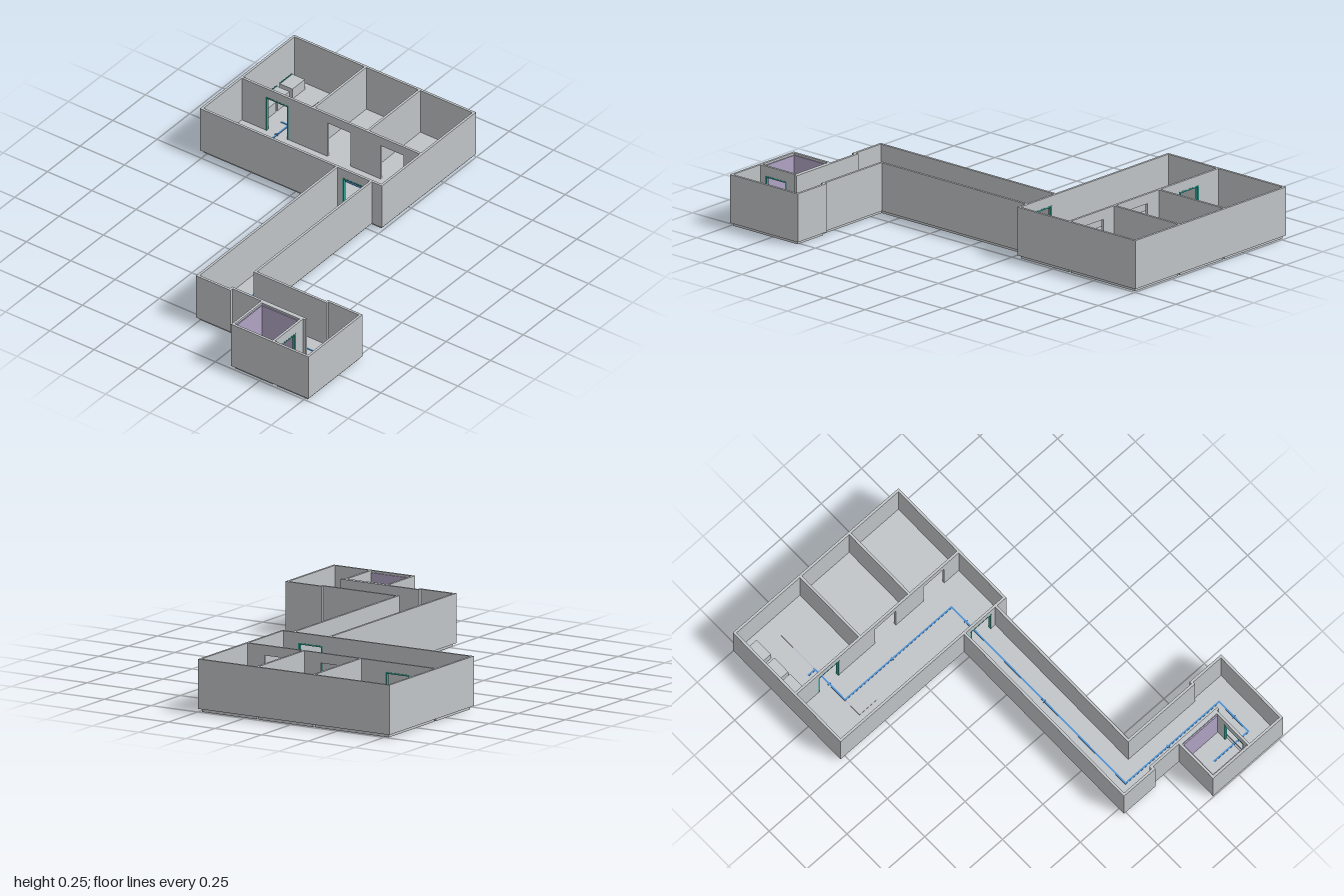
import * as THREE from 'three';

const WALL_BASE = 0.015, WALL_TOP = 0.247, DOOR_TOP = 0.2, T = 0.012;

export function createModel() {
  const model = new THREE.Group();
  model.name = 'floorPlan';

  const material = (name, hex) => {
    const m = new THREE.MeshStandardMaterial({ color: hex });
    m.name = name;
    return m;
  };
  const grey = material('plasterGrey', 0xc0c4c7);
  const purple = material('liftPurple', 0xb0a4c4);
  const teal = material('frameTeal', 0x2f9d90);
  const blue = material('routeBlue', 0x4a90d2);
  const lilac = material('routeLilac', 0xb5b0c6);

  // Box given by its extents
  const box = (name, mat, x0, x1, y0, y1, z0, z1) => {
    const mesh = new THREE.Mesh(new THREE.BoxGeometry(x1 - x0, y1 - y0, z1 - z0), mat);
    mesh.position.set((x0 + x1) / 2, (y0 + y1) / 2, (z0 + z1) / 2);
    mesh.name = name;
    model.add(mesh);
  };

  // Wall along x or z from a to b, its near face at c; doors are { at, width, framed }
  const wall = (name, axis, a, b, c, doors = []) => {
    const part = (n, mat, s, e, y0, y1, grow = 0) => axis === 'x'
      ? box(n, mat, s, e, y0, y1, c - grow, c + T + grow)
      : box(n, mat, c - grow, c + T + grow, y0, y1, s, e);
    let start = a;
    for (const { at, width, framed } of doors) {
      const s = at - width / 2, e = at + width / 2;
      part(name, grey, start, s, WALL_BASE, WALL_TOP);
      part(name + 'Lintel', grey, s, e, DOOR_TOP, WALL_TOP);
      part('threshold', grey, s, e, 0, WALL_BASE);
      if (framed) {
        part('doorJamb', teal, s, s + 0.007, WALL_BASE, DOOR_TOP, 0.001);
        part('doorJamb', teal, e - 0.007, e, WALL_BASE, DOOR_TOP, 0.001);
        part('doorHead', teal, s, e, DOOR_TOP - 0.007, DOOR_TOP, 0.001);
      }
      start = e;
    }
    part(name, grey, start, b, WALL_BASE, WALL_TOP);
  };

  // Floor slabs: x0, x1, z0, z1
  const floors = {
    hallFloor: [0.292, 0.585, -0.768, 0.235],
    backRoomFloor: [0.597, 0.988, -0.768, -0.375],
    middleRoomFloor: [0.597, 0.988, -0.363, -0.07],
    frontRoomFloor: [0.597, 0.988, -0.058, 0.235],
    corridorFloor: [-0.776, 0.28, -0.003, 0.178],
    passageFloor: [-0.76, -0.609, 0.178, 0.59],
    lobbyFloor: [-0.988, -0.597, 0.59, 0.763],
    liftFloor: [-0.988, -0.782, 0.352, 0.566],
  };
  for (const [name, [x0, x1, z0, z1]] of Object.entries(floors)) {
    box(name, grey, x0, x1, 0, WALL_BASE, z0, z1);
  }

  // Main building
  wall('mainBackWall', 'x', 0.28, 1, -0.78);
  wall('mainFrontWall', 'x', 0.28, 1, 0.235);
  wall('mainOuterWall', 'z', -0.78, 0.247, 0.988);
  wall('hallWall', 'z', -0.78, 0.247, 0.28, [{ at: 0.09, width: 0.13, framed: true }]);
  wall('roomWall', 'z', -0.768, 0.235, 0.585, [
    { at: -0.57, width: 0.13, framed: true },
    { at: -0.22, width: 0.13 },
    { at: 0.08, width: 0.13 },
  ]);
  for (const z of [-0.375, -0.07]) wall('roomDivider', 'x', 0.597, 0.988, z);

  // Long corridor
  wall('corridorBackWall', 'x', -0.788, 0.28, -0.015);
  wall('corridorFrontWall', 'x', -0.609, 0.28, 0.178);
  wall('corridorEndWall', 'z', -0.015, 0.178, -0.788);
  wall('corridorReturn', 'x', -0.788, -0.76, 0.168);

  // Short passage
  wall('passageWestWall', 'z', 0.178, 0.59, -0.772);
  wall('passageEastWall', 'z', 0.178, 0.59, -0.609);

  // Lobby and lift shaft
  wall('lobbyFrontWall', 'x', -1, -0.585, 0.763);
  wall('lobbyWestWall', 'z', 0.578, 0.775, -1);
  wall('lobbyEastWall', 'z', 0.58, 0.775, -0.597);
  wall('lobbyReturn', 'x', -0.609, -0.585, 0.58);
  wall('liftBackWall', 'x', -1, -0.77, 0.34);
  wall('liftWestWall', 'z', 0.34, 0.578, -1);
  wall('liftEastWall', 'z', 0.34, 0.578, -0.782);
  wall('liftFrontWall', 'x', -1, -0.76, 0.566, [{ at: -0.895, width: 0.13, framed: true }]);

  // Lift cabin lining
  const top = WALL_TOP - 0.01;
  box('liftBackPanel', purple, -0.988, -0.782, WALL_BASE, top, 0.352, 0.357);
  box('liftWestPanel', purple, -0.988, -0.982, WALL_BASE, top, 0.352, 0.566);
  box('liftEastPanel', purple, -0.788, -0.782, WALL_BASE, top, 0.352, 0.566);

  // Three counters with a coloured back edge
  for (const [x0, x1] of [[0.63, 0.725], [0.737, 0.83], [0.853, 0.948]]) {
    box('counter', grey, x0, x1, WALL_BASE, 0.07, -0.75, -0.68);
    box('counterEdge', teal, x0, x1, WALL_BASE, 0.073, -0.754, -0.75);
  }

  // Route lines on the floor
  const route = (name, mat, w, points) => {
    for (let i = 1; i < points.length; i++) {
      const [[xa, za], [xb, zb]] = [points[i - 1], points[i]];
      box(name, mat, Math.min(xa, xb) - w / 2, Math.max(xa, xb) + w / 2, WALL_BASE, WALL_BASE + 0.003,
        Math.min(za, zb) - w / 2, Math.max(za, zb) + w / 2);
    }
  };
  route('mainRoute', blue, 0.008, [[-0.88, 0.46], [-0.88, 0.67], [-0.685, 0.67], [-0.685, 0.09],
    [0.477, 0.09], [0.477, -0.57], [0.677, -0.57], [0.677, -0.61]]);
  route('sideRoute', lilac, 0.003, [[0.38, -0.46], [0.38, -0.57], [0.9, -0.57]]);

  // Direction arrows: x, z, turn about y (0 points to +x)
  for (const [x, z, turn] of [[-0.78, 0.67, 0], [-0.685, 0.35, 1], [-0.14, 0.09, 0],
    [0.385, 0.09, 0], [0.477, -0.28, 1], [0.585, -0.57, 0]]) {
    const arrow = new THREE.Mesh(new THREE.CylinderGeometry(0.011, 0.011, 0.005, 3), blue);
    arrow.rotation.y = Math.PI / 2 + turn * Math.PI / 2;
    arrow.position.set(x, WALL_BASE + 0.0025, z);
    arrow.name = 'routeArrow';
    model.add(arrow);
  }
  return model;
}
